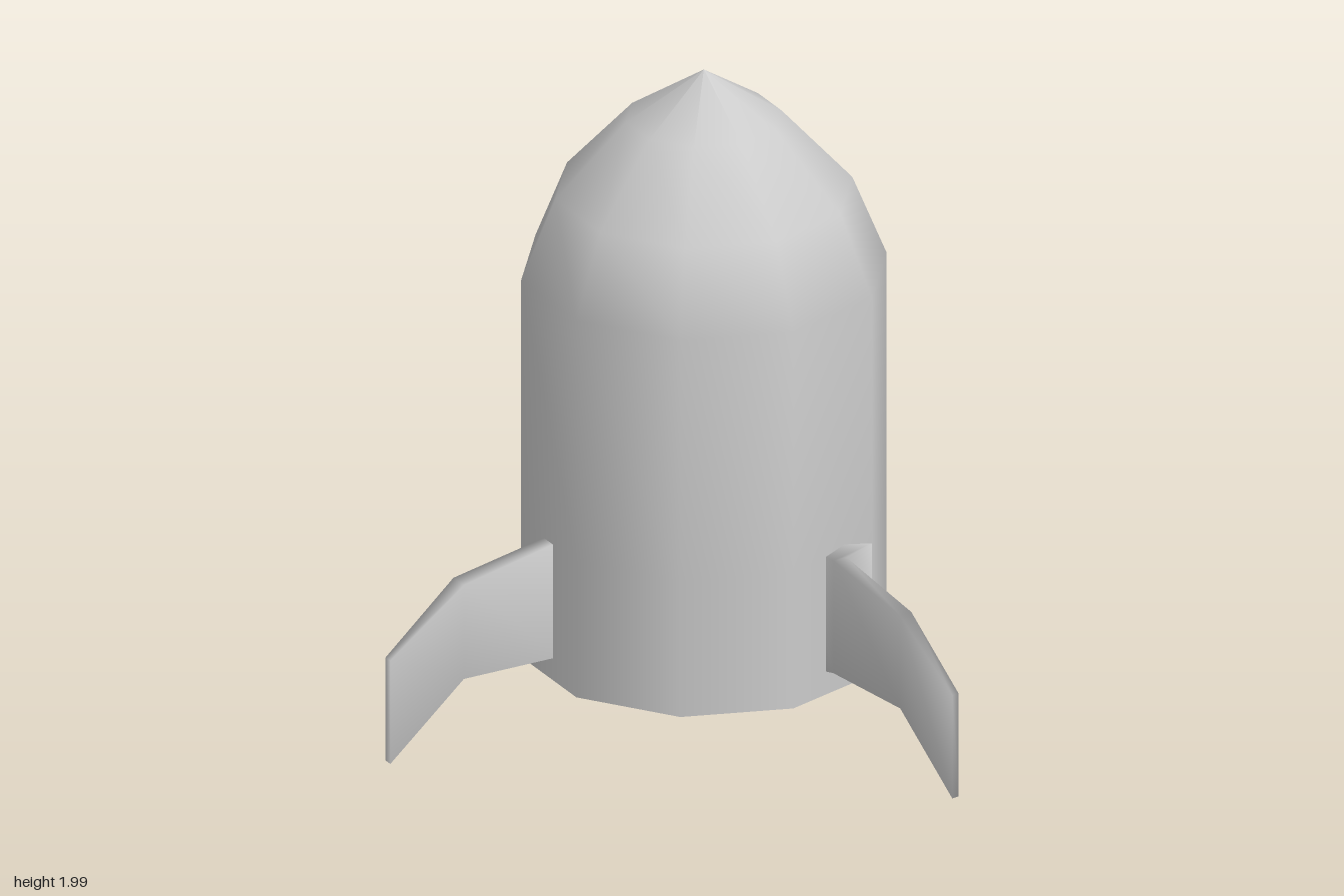
import * as THREE from 'three';

const SIDES = 10;
const grey = new THREE.MeshStandardMaterial({ color: 0xcccccc });

// Ten-sided surface of revolution around the rocket's own axis
function turned(name, profile) {
  const points = profile.map(([r, y]) => new THREE.Vector2(r, y));
  const mesh = new THREE.Mesh(new THREE.LatheGeometry(points, SIDES), grey);
  mesh.name = name;
  mesh.position.set(0.2, 0, -0.115);
  return mesh;
}

// Swept fin: rectangular cross-sections [x, z, bottom, top, thickness] joined in a loop
function fin(name, stations) {
  const positions = [];
  const index = [];
  const last = stations.length - 1;
  stations.forEach(([x, z, bottom, top, thick], i) => {
    const p = stations[Math.max(i - 1, 0)];
    const q = stations[Math.min(i + 1, last)];
    const along = new THREE.Vector2(q[0] - p[0], q[1] - p[1]).normalize();
    const nx = along.y * thick / 2;
    const nz = -along.x * thick / 2;
    positions.push(
      x + nx, bottom, z + nz,
      x + nx, top, z + nz,
      x - nx, top, z - nz,
      x - nx, bottom, z - nz
    );
    if (i === last) return;
    for (let k = 0; k < 4; k++) {
      const a = i * 4 + k;
      const b = i * 4 + (k + 1) % 4;
      index.push(a, b, b + 4, a, b + 4, a + 4);
    }
  });
  const t = last * 4;
  index.push(t, t + 1, t + 2, t, t + 2, t + 3);

  const geometry = new THREE.BufferGeometry();
  geometry.setAttribute('position', new THREE.Float32BufferAttribute(positions, 3));
  geometry.setIndex(index);
  geometry.computeVertexNormals();
  const mesh = new THREE.Mesh(geometry, grey);
  mesh.name = name;
  return mesh;
}

export function createModel() {
  const rocket = new THREE.Group();
  rocket.name = 'rocket';

  // Hollow hull, open at the bottom
  rocket.add(
    turned('hull', [[0.545, 0.165], [0.545, 0.6], [0.545, 1.37], [0.443, 1.62], [0.232, 1.85], [0, 2]]),
    turned('bottomRim', [[0.48, 0.165], [0.545, 0.165]]),
    turned('innerWall', [[0, 1.92], [0.19, 1.79], [0.385, 1.58], [0.48, 1.35], [0.48, 0.165]])
  );

  // Three fins, each bent slightly differently
  rocket.add(
    fin('rightFin', [
      [-0.29, -0.118, 0.235, 0.605, 0.055],
      [-0.62, -0.114, 0.235, 0.535, 0.062],
      [-0.86, -0.107, 0.01, 0.34, 0.028]
    ]),
    fin('frontFin', [
      [0.39, 0.355, 0.235, 0.62, 0.2],
      [0.367, 0.41, 0.24, 0.6, 0.045],
      [0.413, 0.727, 0.24, 0.537, 0.042],
      [0.463, 0.938, 0.02, 0.35, 0.024]
    ]),
    fin('backLeftFin', [
      [0.49, -0.515, 0.235, 0.61, 0.08],
      [0.527, -0.56, 0.24, 0.6, 0.045],
      [0.695, -0.757, 0.24, 0.535, 0.045],
      [0.843, -0.943, 0.03, 0.335, 0.03]
    ])
  );
  return rocket;
}
